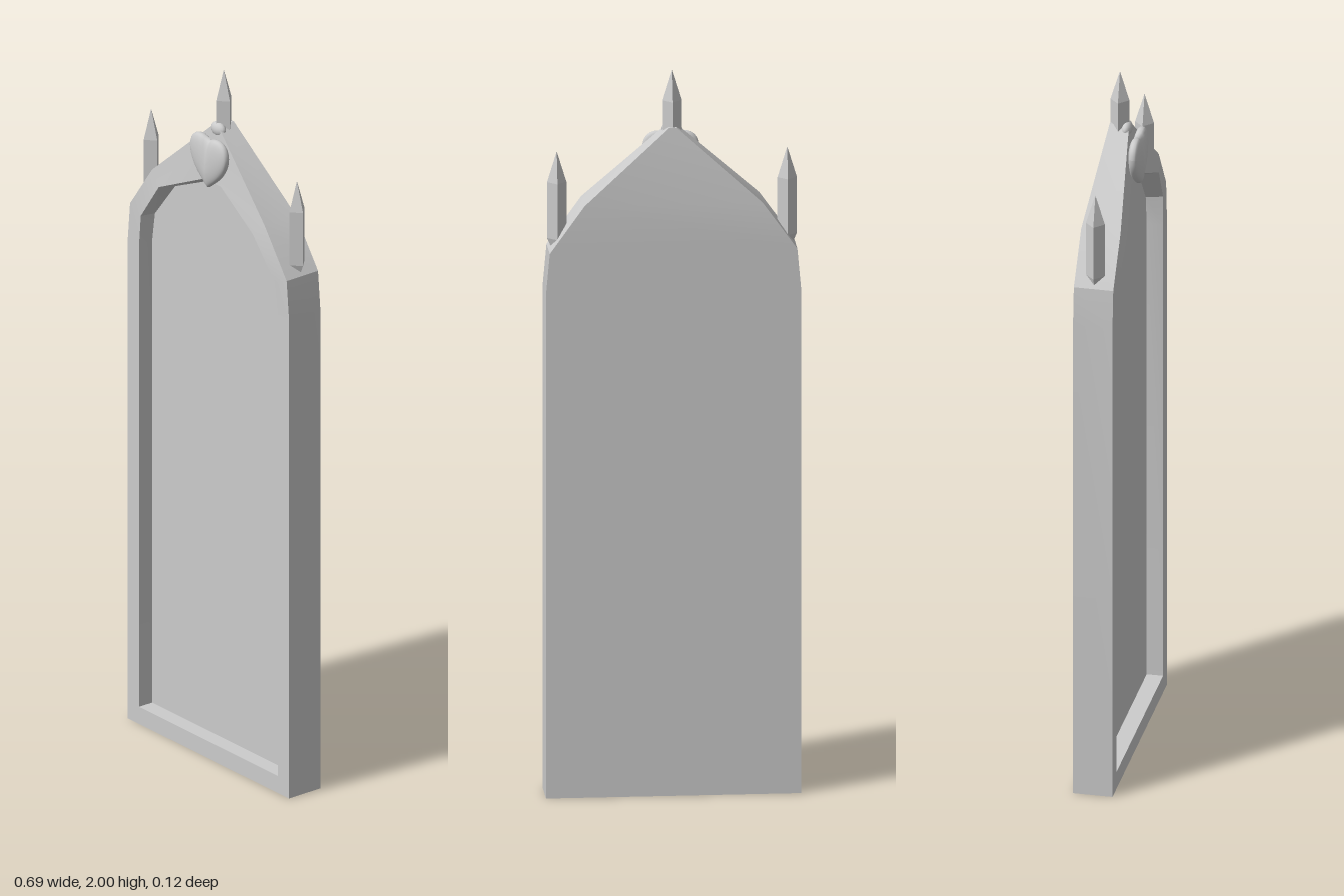
import * as THREE from 'three';
import { toCreasedNormals } from 'three/addons/utils/BufferGeometryUtils.js';

const material = new THREE.MeshStandardMaterial({ color: 0xcccccc });

// Each ring is the right half, bottom to top; the left half is mirrored.
const backRing = [[0.343, 0, -0.063], [0.343, 1.4, -0.063], [0.333, 1.51, -0.063], [0.24, 1.64, -0.063], [0.01, 1.845, -0.035]];
const outerRing = [[0.343, 0, 0.045], [0.343, 1.4, 0.045], [0.333, 1.51, 0.045], [0.24, 1.64, 0.045], [0.01, 1.845, 0.018]];
const innerRing = [[0.295, 0.05, 0.045], [0.295, 1.4, 0.045], [0.285, 1.49, 0.047], [0.2, 1.605, 0.054], [0.035, 1.68, 0.03]];
const panelRing = [[0.295, 0.05, 0], [0.295, 1.4, 0], [0.283, 1.485, 0], [0.197, 1.594, 0], [0.035, 1.667, 0]];

function bodyGeometry() {
  const mirror = ([x, y, z]) => [-x, y, z];
  const rings = [backRing, outerRing, innerRing, panelRing].map((r) => [...r, ...r.map(mirror).reverse()]);
  const pos = [];
  const quad = (a, b, c, d) => pos.push(...a, ...b, ...c, ...a, ...c, ...d);
  // Outer sides, front rim and recess walls
  for (let k = 0; k < 3; k++) {
    const a = rings[k], b = rings[k + 1], n = a.length;
    for (let i = 0; i < n; i++) {
      const j = (i + 1) % n;
      quad(a[i], a[j], b[j], b[i]);
    }
  }
  // Recessed panel and back, as strips between mirrored points
  for (let i = 0; i < backRing.length - 1; i++) {
    const p = panelRing[i], q = panelRing[i + 1];
    quad(p, q, mirror(q), mirror(p));
    const s = backRing[i], t = backRing[i + 1];
    quad(mirror(s), mirror(t), t, s);
  }
  const g = new THREE.BufferGeometry();
  g.setAttribute('position', new THREE.Float32BufferAttribute(pos, 3));
  return toCreasedNormals(g, 0.45);
}

// Sphere pushed into a heart with a flattened front and a soft centre crease
function heartGeometry() {
  const g = new THREE.SphereGeometry(1, 32, 20).rotateX(Math.PI / 2);
  const p = g.attributes.position;
  for (let i = 0; i < p.count; i++) {
    const x = p.getX(i), y = p.getY(i), z = p.getZ(i), ax = Math.abs(x);
    const crease = z > 0 ? 0.005 * Math.max(0, 1 - ax * 4) * Math.max(0, y + 0.3) : 0;
    p.setXYZ(i,
      0.077 * x * (1 + 0.08 * y * (1 - ax)),
      1.738 + 0.068 * y + 0.036 * Math.pow(ax, 0.8),
      0.041 + 0.02 * Math.sign(z) * Math.pow(Math.abs(z), 0.7) - crease);
  }
  g.computeVertexNormals();
  return g;
}

// Four-sided spike pointed at both ends
function spikeGeometry() {
  const profile = [[0, 0], [0.026, 0.06], [0.026, 0.215], [0, 0.3]].map(([r, y]) => new THREE.Vector2(r, y));
  return toCreasedNormals(new THREE.LatheGeometry(profile, 4), 0.1);
}

export function createModel() {
  const model = new THREE.Group();
  const add = (name, geometry, x = 0, y = 0, z = 0) => {
    const mesh = new THREE.Mesh(geometry, material);
    mesh.name = name;
    mesh.position.set(x, y, z);
    model.add(mesh);
    return mesh;
  };

  add('archedFrame', bodyGeometry());
  add('heartOrnament', heartGeometry());

  // Small bead above the heart
  add('peakBead', new THREE.SphereGeometry(1, 16, 10), 0, 1.832, 0.01).scale.set(0.028, 0.02, 0.015);

  // Spikes on both shoulders and the peak
  const spike = spikeGeometry();
  add('leftSpike', spike, 0.31, 1.48, -0.009);
  add('rightSpike', spike, -0.31, 1.48, -0.009);
  add('peakSpike', spike, 0, 1.7, -0.009);

  return model;
}
